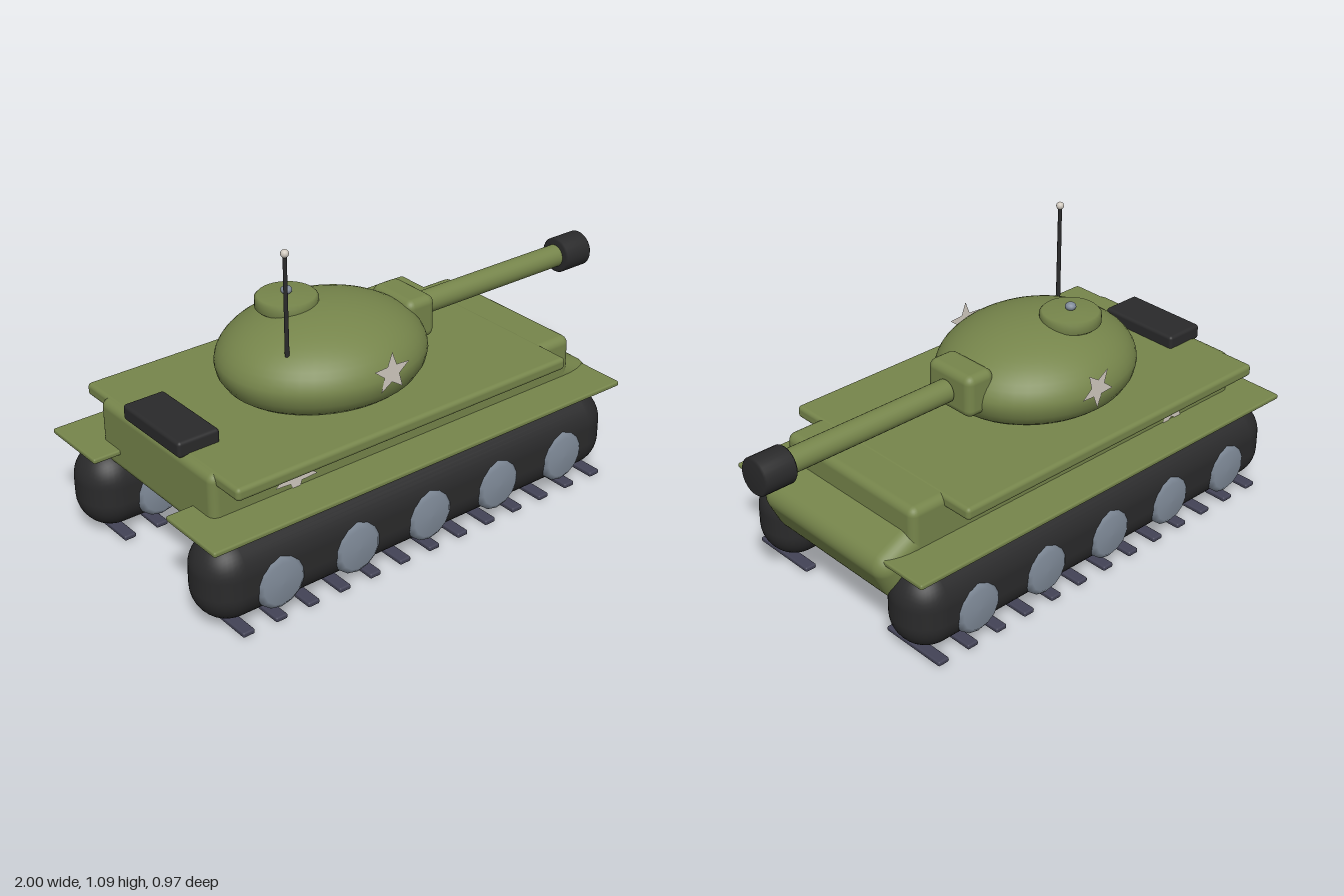
import * as THREE from 'three';
import { RoundedBoxGeometry } from 'three/addons/geometries/RoundedBoxGeometry.js';

const mat = (name, color) => {
  const m = new THREE.MeshStandardMaterial({ color });
  m.name = name;
  return m;
};

export function createModel() {
  const olive = mat('olive paint', 0x76854b);
  const black = mat('black rubber', 0x2a2a2b);
  const steel = mat('blue grey steel', 0x808b99);
  const tread = mat('dark tread steel', 0x434356);
  const pale = mat('pale marking', 0xd2cbc1);
  pale.side = THREE.DoubleSide;

  const tank = new THREE.Group();
  tank.name = 'tank';

  const add = (name, geometry, material, x, y, z) => {
    const mesh = new THREE.Mesh(geometry, material);
    mesh.name = name;
    mesh.position.set(x, y, z);
    tank.add(mesh);
    return mesh;
  };
  // Rounded box given by its extents on each axis
  const box = (name, material, [x0, x1], [y0, y1], [z0, z1], r, seg = 3) =>
    add(name, new RoundedBoxGeometry(x1 - x0, y1 - y0, z1 - z0, seg, r), material,
      (x0 + x1) / 2, (y0 + y1) / 2, (z0 + z1) / 2);
  // Turned part from [radius, height] pairs
  const turned = (points, sides) =>
    new THREE.LatheGeometry(points.map(([r, y]) => new THREE.Vector2(r, y)), sides);

  // Hull, overhanging deck and sloped nose
  box('hull', olive, [-0.9, 0.64], [0.28, 0.514], [-0.33, 0.33], 0.03);
  box('deck', olive, [-0.88, 0.505], [0.47, 0.516], [-0.443, 0.443], 0.015);
  const nose = add('nose', new RoundedBoxGeometry(0.4, 0.212, 0.66, 4, 0.06), olive, 0.56, 0.341, 0);
  nose.rotation.z = -0.46;
  box('engineBox', black, [-0.907, -0.75], [0.505, 0.562], [-0.165, 0.165], 0.012);

  // Running gear, mirrored on both sides
  const wheelGeo = turned([[0, -0.132], [0.075, -0.13], [0.095, -0.115],
    [0.095, 0.115], [0.075, 0.13], [0, 0.132]], 14).rotateX(Math.PI / 2);
  const barGeo = new RoundedBoxGeometry(0.045, 0.018, 0.262, 2, 0.006);
  for (const side of [1, -1]) {
    const z = side * 0.35;
    box('track', black, [-0.992, 0.732], [0.02, 0.32], [z - 0.12, z + 0.12], 0.118, 5);
    box('fender', olive, [-1, 0.74], [0.343, 0.362], [z - 0.135, z + 0.135], 0.007, 2);
    for (let i = 0; i < 5; i++) add('wheel', wheelGeo, steel, -0.745 + i * 0.3075, 0.14, z);
    for (let i = 0; i < 13; i++) add('treadBar', barGeo, tread, -0.882 + i * 0.1275, 0.011, z);
  }

  // Turret: flattened dome with a tucked-in lower edge, longer along x
  const profile = [[0, 0.518], [0.285, 0.518], [0.305, 0.535], [0.325, 0.568]];
  for (let i = 0; i <= 14; i++) {
    const a = (i / 14) * Math.PI / 2;
    profile.push([0.332 * Math.cos(a), 0.602 + 0.184 * Math.sin(a)]);
  }
  const turret = add('turret', turned(profile, 48), olive, -0.22, 0, 0);
  turret.scale.x = 1.145;

  // Gun
  box('mantlet', olive, [0.075, 0.197], [0.567, 0.725], [-0.108, 0.108], 0.03);
  const barrelGeo = new THREE.CylinderGeometry(0.042, 0.042, 0.685, 28).rotateZ(Math.PI / 2);
  add('barrel', barrelGeo, olive, 0.5475, 0.646, 0);
  const muzzleGeo = turned([[0, -0.063], [0.06, -0.063], [0.066, -0.056],
    [0.066, 0.056], [0.06, 0.063], [0, 0.063]], 28).rotateZ(-Math.PI / 2);
  add('muzzle', muzzleGeo, black, 0.937, 0.646, 0);

  // Hatch with knob
  const hatchGeo = turned([[0, 0.757], [0.1, 0.757], [0.109, 0.765],
    [0.109, 0.797], [0.1, 0.806], [0, 0.81]], 32);
  add('hatch', hatchGeo, olive, -0.3, 0, -0.085);
  const knob = add('hatchKnob', new THREE.SphereGeometry(0.02, 14, 10), steel, -0.3, 0.821, -0.085);
  knob.scale.y = 0.75;

  // Antenna
  add('antenna', new THREE.CylinderGeometry(0.007, 0.008, 0.38, 10), black, -0.465, 0.885, 0.14);
  add('antennaTip', new THREE.SphereGeometry(0.014, 14, 10), pale, -0.465, 1.076, 0.14);

  // Flat stars on turret and hull sides, turned over on the far side
  const starGeo = (radius, start) => {
    const shape = new THREE.Shape();
    for (let i = 0; i < 10; i++) {
      const r = i % 2 ? radius * 0.43 : radius;
      const a = start + i * Math.PI / 5;
      shape[i ? 'lineTo' : 'moveTo'](r * Math.cos(a), r * Math.sin(a));
    }
    shape.closePath();
    return new THREE.ShapeGeometry(shape);
  };
  const turretStar = starGeo(0.076, Math.PI / 2);
  const hullStar = starGeo(0.088, -Math.PI / 2);
  for (const side of [1, -1]) {
    const turn = side > 0 ? 0 : Math.PI;
    add('turretStar', turretStar, pale, -0.187, 0.642, side * 0.334).rotation.x = turn;
    add('hullStar', hullStar, pale, -0.58, 0.41, side * 0.334).rotation.x = turn;
  }
  return tank;
}
